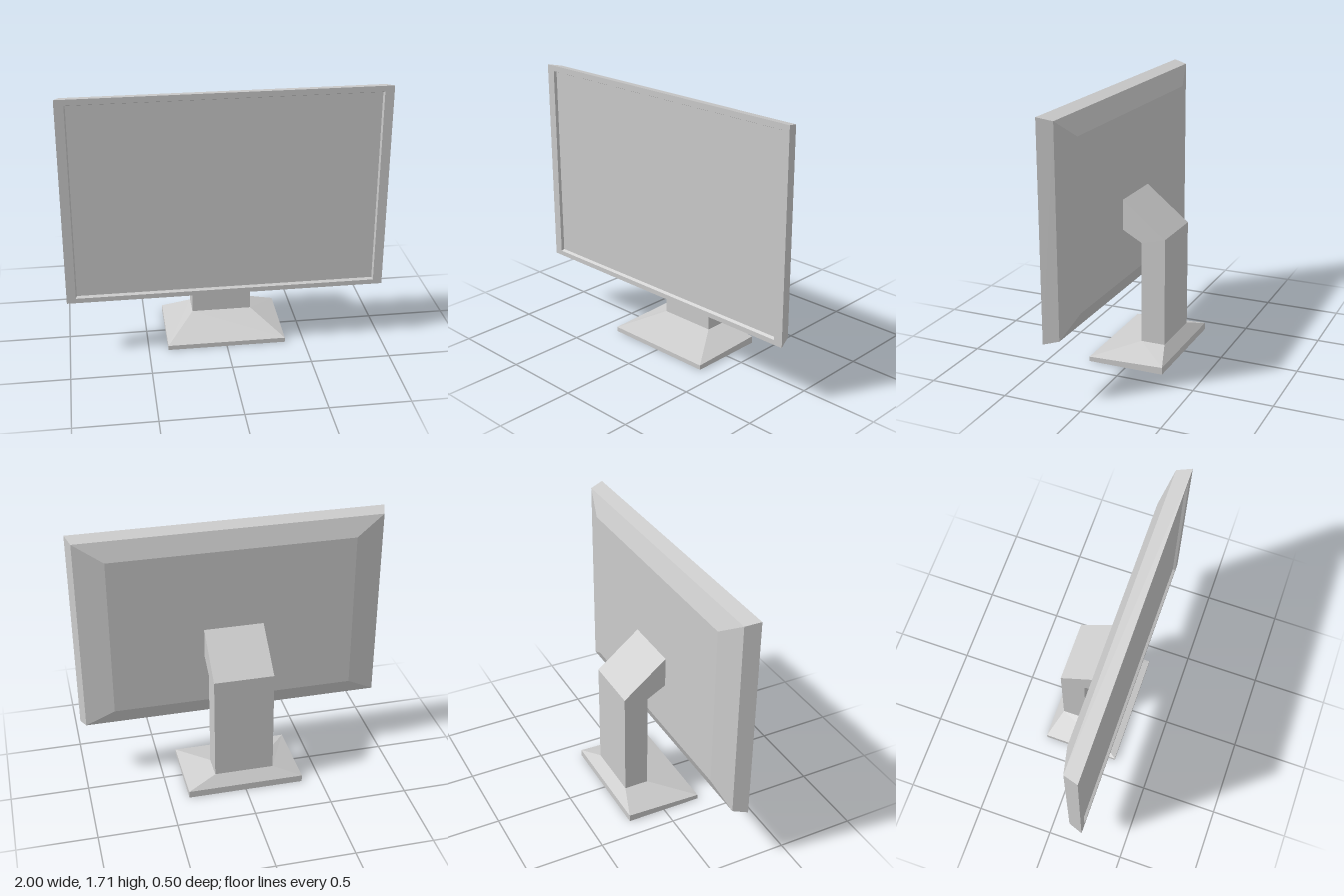
import * as THREE from 'three';

const material = new THREE.MeshStandardMaterial({ color: 0xcccccc, flatShading: true });

// Joins four-cornered loops, each counter-clockwise seen from the first end.
function loft(loops, capStart = true, capEnd = true) {
  const pos = [];
  const quad = (a, b, c, d) => pos.push(...a, ...b, ...c, ...a, ...c, ...d);
  for (let i = 0; i < loops.length - 1; i++) {
    const near = loops[i], far = loops[i + 1];
    for (let j = 0; j < 4; j++) {
      const k = (j + 1) % 4;
      quad(near[j], far[j], far[k], near[k]);
    }
  }
  if (capStart) quad(...loops[0]);
  if (capEnd) quad(...[...loops[loops.length - 1]].reverse());
  const geometry = new THREE.BufferGeometry();
  geometry.setAttribute('position', new THREE.Float32BufferAttribute(pos, 3));
  geometry.computeVertexNormals();
  return geometry;
}

// Upright rectangle at depth z, and level rectangle with its own front and back height.
const upright = (w, y0, y1, z) => [[-w, y0, z], [w, y0, z], [w, y1, z], [-w, y1, z]];
const level = (w, zFront, zBack, yFront, yBack = yFront) =>
  [[-w, yFront, zFront], [w, yFront, zFront], [w, yBack, zBack], [-w, yBack, zBack]];

export function createModel() {
  const model = new THREE.Group();
  const add = (name, geometry) => {
    const mesh = new THREE.Mesh(geometry, material);
    mesh.name = name;
    model.add(mesh);
    return mesh;
  };

  // Housing: recess lip, front bezel, tapered sides and chamfered back
  add('housing', loft([
    upright(0.936, 0.419, 1.662, 0.215),
    upright(0.943, 0.409, 1.669, 0.232),
    upright(1, 0.378, 1.705, 0.232),
    upright(0.97, 0.4, 1.685, 0.14),
    upright(0.785, 0.512, 1.565, 0.092),
  ], false));

  // Recessed screen
  const screen = add('screen', new THREE.PlaneGeometry(1.872, 1.243));
  screen.position.set(0, 1.0405, 0.215);

  // Neck: side profile (x = -z) extruded across the width, bending forward to the housing
  const profile = [[0.03, 0.11], [0.188, 0.11], [0.188, 0.81], [-0.092, 1.035], [-0.092, 0.84], [0.03, 0.772]];
  const neck = new THREE.ExtrudeGeometry(
    new THREE.Shape(profile.map(([x, y]) => new THREE.Vector2(x, y))),
    { depth: 0.384, bevelEnabled: false });
  neck.translate(0, 0, -0.192).rotateY(Math.PI / 2);
  add('neck', neck);

  // Base: thin plinth rising in slopes to the foot of the neck
  add('base', loft([
    level(0.192, -0.03, -0.188, 0.112),
    level(0.377, 0.248, -0.248, 0.03, 0.046),
    level(0.377, 0.248, -0.248, 0),
  ]));

  return model;
}
